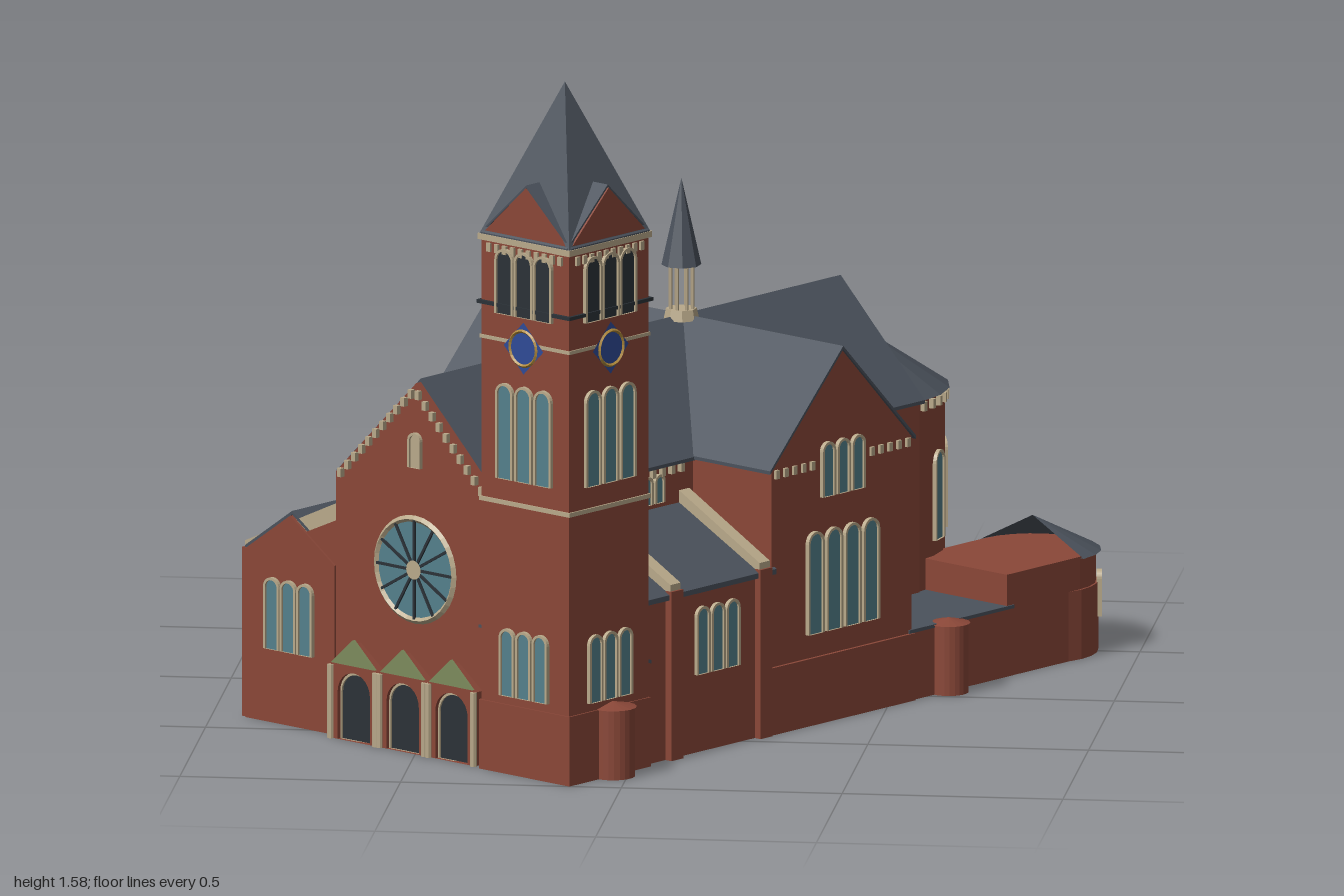
import * as THREE from 'three';

const mat = (c) => new THREE.MeshStandardMaterial({ color: c, flatShading: true, side: THREE.DoubleSide });
const BRICK = mat(0x8a4738), ROOF = mat(0x4b525c), TRIM = mat(0xb9a98a), GLASS = mat(0x54808c),
  DARK = mat(0x2b3238), GREEN = mat(0x7c8a5c), BLUE = mat(0x2f4a96), GOLD = mat(0xb08a3c);
const AX = -0.01; // x of the nave axis
const PI = Math.PI;

export function createModel() {
  const model = new THREE.Group();
  const church = new THREE.Group();
  church.name = 'church';
  church.rotation.y = -0.618;
  model.add(church);

  const add = (name, geo, m, x = 0, y = 0, z = 0, ry = 0, parent = church) => {
    const mesh = new THREE.Mesh(geo, m);
    mesh.name = name;
    mesh.position.set(x, y, z);
    mesh.rotation.y = ry;
    parent.add(mesh);
    return mesh;
  };
  // box given by its limits
  const box = (name, m, x0, x1, y0, y1, z0, z1) =>
    add(name, new THREE.BoxGeometry(x1 - x0, y1 - y0, z1 - z0), m, (x0 + x1) / 2, (y0 + y1) / 2, (z0 + z1) / 2);
  const poly = (pts) => new THREE.Shape(pts.map((p) => new THREE.Vector2(p[0], p[1])));
  const extrude = (shape, depth) =>
    new THREE.ExtrudeGeometry(shape, { depth, bevelEnabled: false, curveSegments: 6 });
  // outline in x and y, swept along z from its origin
  const prism = (name, m, pts, depth, x, y, z, ry = 0, parent = church) =>
    add(name, extrude(poly(pts), depth), m, x, y, z, ry, parent);
  const gableWall = (w, e, r) => [[-w, 0], [w, 0], [w, e], [0, r], [-w, e]];
  const chevron = (w, e, r, t) => [[-w, e], [0, r], [w, e], [w, e + t], [0, r + t], [-w, e + t]];
  const drum = (name, x, z, r, h, m = BRICK) =>
    add(name, new THREE.CylinderGeometry(r, r, h, 24), m, x, h / 2, z);

  const arch = (w, h) => {
    const s = new THREE.Shape();
    s.moveTo(-w / 2, 0);
    s.lineTo(w / 2, 0);
    s.lineTo(w / 2, h - w / 2);
    s.absarc(0, h - w / 2, w / 2, 0, PI, false);
    s.lineTo(-w / 2, 0);
    return s;
  };
  // row of round-headed windows with stone frames; ry turns the row to its wall
  const windows = (name, n, gap, w, h, x, y, z, ry, fill = GLASS) => {
    const g = new THREE.Group();
    g.name = name;
    g.position.set(x, y, z);
    g.rotation.y = ry;
    church.add(g);
    const frame = arch(w + 0.012, h + 0.006);
    frame.holes.push(arch(w, h));
    for (let i = 0; i < n; i++) {
      const px = (i - (n - 1) / 2) * gap;
      add('windowFrame', extrude(frame, 0.012), TRIM, px, 0, -0.003, 0, g);
      add('windowPane', extrude(arch(w, h), 0.007), fill, px, 0, -0.003, 0, g);
    }
    return g;
  };
  // row of small corbels between two points
  const corbels = (a, b, n) => {
    const geo = new THREE.BoxGeometry(0.012, 0.02, 0.012);
    const p = new THREE.Vector3(...a), q = new THREE.Vector3(...b);
    for (let i = 0; i < n; i++) {
      const v = p.clone().lerp(q, (i + 0.5) / n);
      add('corbel', geo, TRIM, v.x, v.y, v.z);
    }
  };

  // nave and choir
  prism('nave', BRICK, gableWall(0.243, 0.61, 0.85), 1.42, AX, 0, -0.57);
  prism('naveRoof', ROOF, chevron(0.255, 0.6, 0.85, 0.008), 1.41, AX, 0, -0.575);
  // transept, with a longer arm on -x
  prism('transept', BRICK, gableWall(0.235, 0.61, 0.85), 1.03, -0.56, 0, -0.045, PI / 2);
  prism('transeptRoof', ROOF, chevron(0.245, 0.602, 0.85, 0.008), 1.042, -0.566, 0, -0.045, PI / 2);
  box('transeptPlinth', BRICK, -0.568, 0.478, 0, 0.155, -0.285, 0.195);
  for (const s of [-1, 1]) {
    const face = s > 0 ? 0.471 : -0.561;
    windows('transeptWindows', 4, 0.062, 0.042, 0.23, face, 0.21, -0.045, s * PI / 2);
    windows('transeptUpperWindows', 3, 0.05, 0.032, 0.12, face, 0.52, -0.045, s * PI / 2);
    corbels([face, 0.598, -0.28], [face, 0.598, -0.13], 5);
    corbels([face, 0.598, 0.04], [face, 0.598, 0.19], 5);
    corbels([AX + s * 0.248, 0.59, 0.22], [AX + s * 0.248, 0.59, s > 0 ? 0.6 : 0.84], s > 0 ? 12 : 20);
  }

  // aisles with lean-to roofs and sloping buttresses
  for (const s of [-1, 1]) {
    const out = s > 0 ? 0.465 : -0.525, inn = AX + s * 0.235, z1 = s > 0 ? 0.62 : 0.845;
    prism('aisle', BRICK, [[inn, 0], [out, 0], [out, 0.375], [inn, 0.5]], z1 - 0.18, 0, 0, 0.18);
    const e = out + s * 0.012;
    prism('aisleRoof', ROOF, [[inn, 0.5], [e, 0.37], [e, 0.382], [inn, 0.512]], (s > 0 ? 0.62 : 0.8) - 0.18, 0, 0, 0.18);
    const ribs = s > 0 ? [0.22, 0.52] : [0.22, 0.52, 0.825];
    for (const z of ribs) {
      prism('buttressRib', TRIM, [[inn, 0.5], [e, 0.37], [e, 0.405], [inn, 0.54]], 0.034, 0, 0, z - 0.017);
      const t = out + s * 0.018;
      box('buttress', BRICK, Math.min(out, t), Math.max(out, t), 0, 0.39, z - 0.02, z + 0.02);
    }
    const bays = s > 0 ? [0.37] : [0.37, 0.66];
    for (const z of bays) {
      windows('aisleWindows', 3, 0.05, 0.034, 0.15, out, 0.18, z, s * PI / 2);
      windows('clerestoryWindows', 4, 0.04, 0.022, 0.06, AX + s * 0.244, 0.52, z, s * PI / 2);
    }
  }
  // gabled bay beside the facade
  const bay = [[-0.135, 0], [0.135, 0], [0.135, 0.39], [0, 0.485], [-0.135, 0.39]];
  prism('frontBay', BRICK, bay, 0.17, -0.393, 0, 0.68);
  prism('frontBayRoof', ROOF, chevron(0.142, 0.387, 0.487, 0.008), 0.165, -0.393, 0, 0.678);
  windows('frontBayWindows', 3, 0.05, 0.036, 0.16, -0.393, 0.17, 0.85, 0);

  // facade: rose window, niche, rake corbels
  const rose = new THREE.Group();
  rose.name = 'roseWindow';
  rose.position.set(AX, 0.42, 0.851);
  church.add(rose);
  add('roseGlass', new THREE.CircleGeometry(0.115, 32), GLASS, 0, 0, 0.004, 0, rose);
  add('roseRim', new THREE.TorusGeometry(0.117, 0.008, 4, 32), TRIM, 0, 0, 0.003, 0, rose);
  add('roseHub', new THREE.CircleGeometry(0.022, 16), TRIM, 0, 0, 0.009, 0, rose);
  for (let i = 0; i < 12; i++) {
    const bar = new THREE.BoxGeometry(0.006, 0.1, 0.005);
    bar.translate(0, 0.065, 0);
    add('roseSpoke', bar, DARK, 0, 0, 0.006, 0, rose).rotation.z = i * PI / 6;
  }
  windows('facadeNiche', 1, 0, 0.026, 0.075, AX, 0.655, 0.851, 0, TRIM);
  corbels([AX - 0.235, 0.6, 0.856], [AX, 0.835, 0.856], 11);
  corbels([AX, 0.835, 0.856], [AX + 0.235, 0.6, 0.856], 11);
  // three gabled portals
  for (const x of [-0.178, -0.03, 0.118]) {
    const surround = poly([[-0.072, 0], [0.072, 0], [0.072, 0.17], [0, 0.225], [-0.072, 0.17]]);
    surround.holes.push(arch(0.098, 0.158));
    add('portal', extrude(surround, 0.026), BRICK, x, 0, 0.848);
    windows('portalDoor', 1, 0, 0.09, 0.152, x, 0, 0.856, 0, DARK);
    prism('portalGable', GREEN, [[-0.066, 0.175], [0.066, 0.175], [0, 0.235]], 0.008, x, 0, 0.87);
    for (const d of [-0.068, 0.068])
      add('portalColumn', new THREE.CylinderGeometry(0.008, 0.008, 0.17, 8), TRIM, x + d, 0.085, 0.876);
  }

  // tower
  const TX = 0.347, TZ = 0.747, H = 0.133;
  const band = (name, m, y0, y1, o) => box(name, m, TX - H - o, TX + H + o, y0, y1, TZ - H - o, TZ + H + o);
  band('tower', BRICK, 0, 1.23, 0);
  band('towerPlinth', BRICK, 0, 0.16, 0.004);
  band('towerBand', TRIM, 0.62, 0.63, 0.004);
  band('towerBand', TRIM, 0.995, 1.003, 0.003);
  band('towerRail', DARK, 1.075, 1.083, 0.008);
  band('towerCornice', TRIM, 1.222, 1.236, 0.006);
  const spire = add('towerSpire', new THREE.ConeGeometry((H + 0.004) * Math.SQRT2, 0.35, 4, 1, false, PI / 4), ROOF, TX, 1.408, TZ);
  spire.geometry.computeBoundingBox();
  for (let i = 0; i < 4; i++) {
    const a = i * PI / 2, dx = Math.sin(a), dz = Math.cos(a), px = TX + dx * H, pz = TZ + dz * H;
    prism('towerGable', BRICK, [[-H, 0], [H, 0], [0, 0.125]], H, TX, 1.233, TZ, a);
    prism('towerGableRoof', ROOF, chevron(H + 0.004, 0, 0.126, 0.006), H - 0.003, TX, 1.233, TZ, a);
    windows('belfryOpenings', 3, 0.058, 0.044, 0.145, px, 1.06, pz, a, DARK);
    windows('towerWindows', 3, 0.058, 0.04, 0.215, px, 0.68, pz, a);
    const clock = new THREE.Group();
    clock.name = 'clock';
    clock.position.set(px, 0.99, pz);
    clock.rotation.y = a;
    church.add(clock);
    add('clockPanel', new THREE.CircleGeometry(0.06, 4), BLUE, 0, 0, 0.006, 0, clock);
    add('clockFace', new THREE.CircleGeometry(0.043, 24), BLUE, 0, 0, 0.008, 0, clock);
    add('clockRim', new THREE.TorusGeometry(0.04, 0.004, 4, 24), GOLD, 0, 0, 0.008, 0, clock);
    const px2 = dz * 0.12, pz2 = -dx * 0.12;
    corbels([px - px2, 1.207, pz - pz2], [px + px2, 1.207, pz + pz2], 10);
    if (i < 2) windows('towerLowWindows', 3, 0.05, 0.034, 0.15, px, 0.18, pz, a);
  }

  // spirelet over the crossing
  add('spireletBase', new THREE.CylinderGeometry(0.035, 0.04, 0.025, 8), TRIM, AX, 0.86, -0.04);
  add('spireletRoof', new THREE.ConeGeometry(0.045, 0.2, 8), ROOF, AX, 1.073, -0.04);
  for (let i = 0; i < 8; i++) {
    const a = (i + 0.5) * PI / 4;
    add('spireletPost', new THREE.CylinderGeometry(0.004, 0.004, 0.11, 5), TRIM, AX + 0.027 * Math.sin(a), 0.92, -0.04 + 0.027 * Math.cos(a));
  }

  // half cone over a round end, open towards the front
  const halfCone = (name, x, z, r, y, h) =>
    add(name, new THREE.ConeGeometry(r, h, 10, 1, false, PI / 2, PI), ROOF, x, y + h / 2, z);
  // main apse
  drum('apse', AX, -0.57, 0.238, 0.61);
  halfCone('apseRoof', AX, -0.57, 0.25, 0.605, 0.165);
  for (let i = 0; i < 5; i++) {
    const a = PI + (i - 2) * 0.6;
    windows('apseWindow', 1, 0, 0.045, 0.2, AX + 0.236 * Math.sin(a), 0.27, -0.57 + 0.236 * Math.cos(a), a);
  }
  for (let i = 0; i < 22; i++) {
    const a = PI / 2 + (i + 0.5) * PI / 22;
    add('apseCorbel', new THREE.BoxGeometry(0.012, 0.022, 0.014), TRIM, AX + 0.241 * Math.sin(a), 0.59, -0.57 + 0.241 * Math.cos(a), a);
  }

  // low annexes and round-ended chapels
  for (const s of [-1, 1]) {
    const cx = s > 0 ? 0.328 : -0.27, cz = s > 0 ? -0.845 : -0.82, R = 0.143;
    const x0 = s > 0 ? 0.15 : -0.563, x1 = s > 0 ? 0.472 : -0.15, zb = s > 0 ? -0.62 : -0.655;
    box('annex', BRICK, x0, x1, 0, 0.155, zb, -0.27);
    box('annexRoof', ROOF, x0, x1 + 0.002, 0.155, 0.163, zb - 0.003, -0.27);
    box('chapel', BRICK, cx - R, cx + R, 0, 0.235, cz, -0.6);
    drum('chapelEnd', cx, cz, R, 0.235);
    drum('chapelPlinth', cx, cz, R + 0.005, 0.16);
    halfCone('chapelEndRoof', cx, cz, R + 0.012, 0.232, 0.078);
    // shed roof rising to the back
    prism('chapelRoof', ROOF, [[0.6, 0.235], [-cz + 0.005, 0.315], [-cz + 0.005, 0.322], [0.6, 0.243]], 2 * R + 0.012, cx - R - 0.006, 0, 0, PI / 2);
    church.children[church.children.length - 1].geometry.scale(-1, 1, 1);
    for (let i = 0; i < 3; i++) {
      const a = PI + (i - 1) * 0.85;
      windows('chapelWindow', 1, 0, 0.026, 0.1, cx + (R + 0.004) * Math.sin(a), 0.08, cz + (R + 0.004) * Math.cos(a), a);
    }
  }
  drum('lowRoundWall', -0.335, -0.81, 0.148, 0.18);

  // stair turrets against the walls
  for (const [x, z, r, h] of [[0.475, -0.4, 0.045, 0.16], [-0.575, -0.655, 0.05, 0.16], [-0.527, 0.742, 0.05, 0.16], [0.482, 0.735, 0.05, 0.16]]) {
    drum('turret', x, z, r, h);
    add('turretCap', new THREE.ConeGeometry(r + 0.004, 0.012, 16), x < 0 && z < 0 ? ROOF : BRICK, x, h + 0.006, z);
  }
  return model;
}
